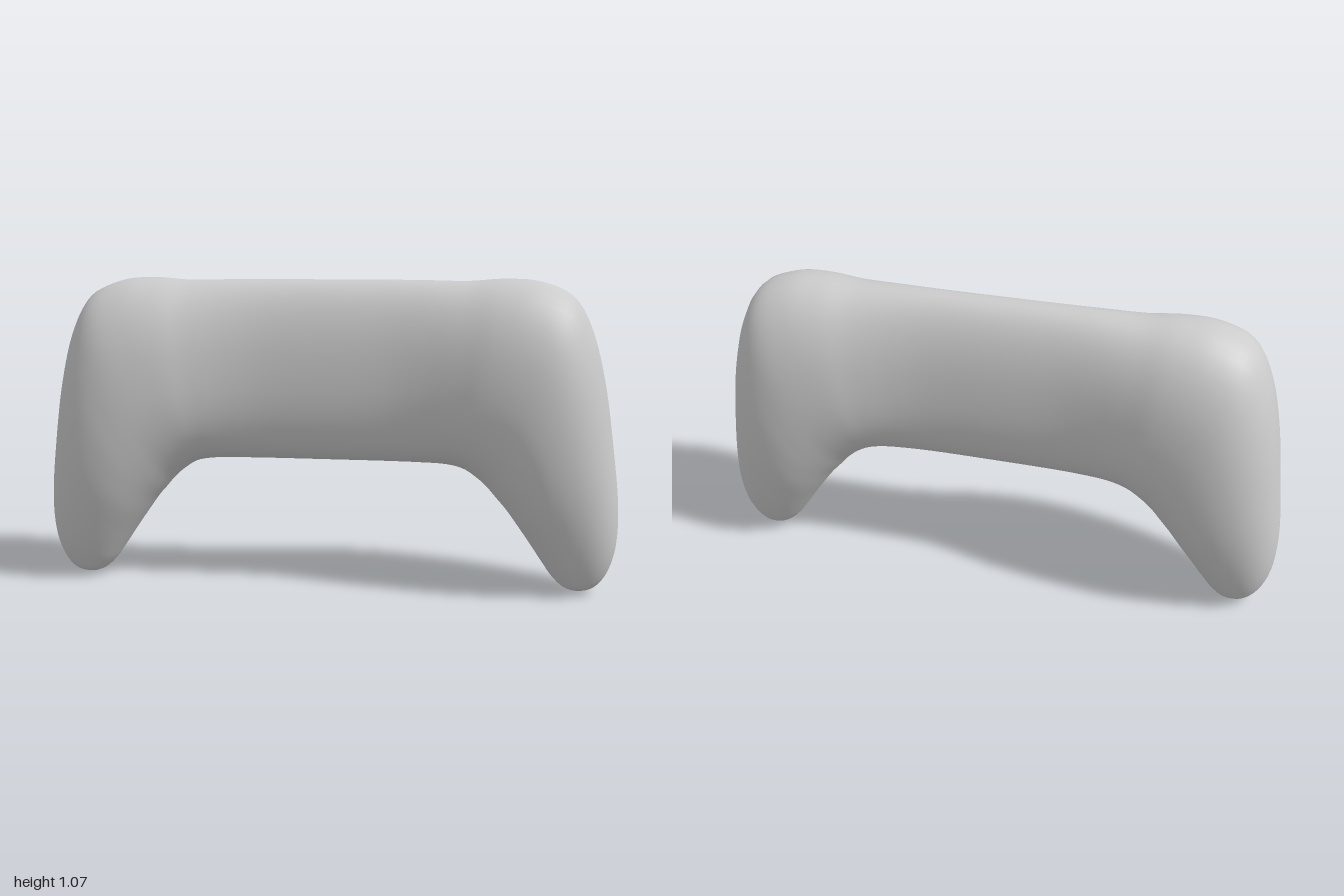
import * as THREE from 'three';
import { mergeVertices } from 'three/addons/utils/BufferGeometryUtils.js';

// Half of the body, centre to grip tip: outer x, outer y, inner x, inner y, half depth
const STATIONS = [
  [0, 1.07, 0, 0.445, 0.127],
  [0.2, 1.07, 0.2, 0.445, 0.13],
  [0.34, 1.069, 0.32, 0.444, 0.144],
  [0.48, 1.067, 0.41, 0.441, 0.168],
  [0.6, 1.075, 0.47, 0.428, 0.192],
  [0.72, 1.066, 0.515, 0.4, 0.207],
  [0.83, 1.015, 0.55, 0.37, 0.216],
  [0.895, 0.9, 0.585, 0.33, 0.217],
  [0.94, 0.73, 0.62, 0.29, 0.211],
  [0.973, 0.52, 0.66, 0.235, 0.192],
  [0.997, 0.32, 0.705, 0.17, 0.158],
  [0.996, 0.18, 0.745, 0.11, 0.125],
  [0.972, 0.085, 0.78, 0.06, 0.093],
  [0.93, 0.028, 0.818, 0.024, 0.06],
  [0.87, 0.003, 0.87, 0.003, 0],
];
const SEGMENTS = 40;
const RINGS = 168;

// Rounded section: a slightly squared ellipse
const squared = (v) => Math.sign(v) * Math.pow(Math.abs(v), 2 / 2.2);

function bodyGeometry() {
  // Mirror the stations into one run from grip tip to grip tip
  const left = STATIONS.slice(1).reverse().map(([ox, oy, ix, iy, d]) => [-ox, oy, -ix, iy, d]);
  const all = [...left, ...STATIONS];
  const curve = (pick) => new THREE.CatmullRomCurve3(all.map(pick), false, 'catmullrom', 0.5);
  const outer = curve(([ox, oy, , , d]) => new THREE.Vector3(ox, oy, d));
  const inner = curve(([, , ix, iy]) => new THREE.Vector3(ix, iy, 0));

  const positions = [];
  const index = [];
  for (let i = 0; i <= RINGS; i++) {
    const o = outer.getPoint(i / RINGS);
    const n = inner.getPoint(i / RINGS);
    const depth = Math.max(0, o.z);
    for (let j = 0; j < SEGMENTS; j++) {
      const a = (j / SEGMENTS) * Math.PI * 2;
      const k = 0.5 + 0.5 * squared(Math.cos(a));
      positions.push(n.x + (o.x - n.x) * k, n.y + (o.y - n.y) * k, depth * squared(Math.sin(a)));
      if (i < RINGS) {
        const p = i * SEGMENTS + j;
        const q = i * SEGMENTS + ((j + 1) % SEGMENTS);
        index.push(p, q, p + SEGMENTS, q, q + SEGMENTS, p + SEGMENTS);
      }
    }
  }
  const geometry = new THREE.BufferGeometry();
  geometry.setAttribute('position', new THREE.Float32BufferAttribute(positions, 3));
  geometry.setIndex(index);
  // Weld the grip tips so they shade smoothly
  const welded = mergeVertices(geometry, 1e-5);
  welded.computeVertexNormals();
  return welded;
}

export function createModel() {
  const group = new THREE.Group();
  group.name = 'controllerShell';
  // One smooth shell: central bar flowing into two grips
  const body = new THREE.Mesh(bodyGeometry(), new THREE.MeshStandardMaterial({ color: 0xcccccc }));
  body.name = 'bodyWithGrips';
  group.add(body);
  return group;
}
